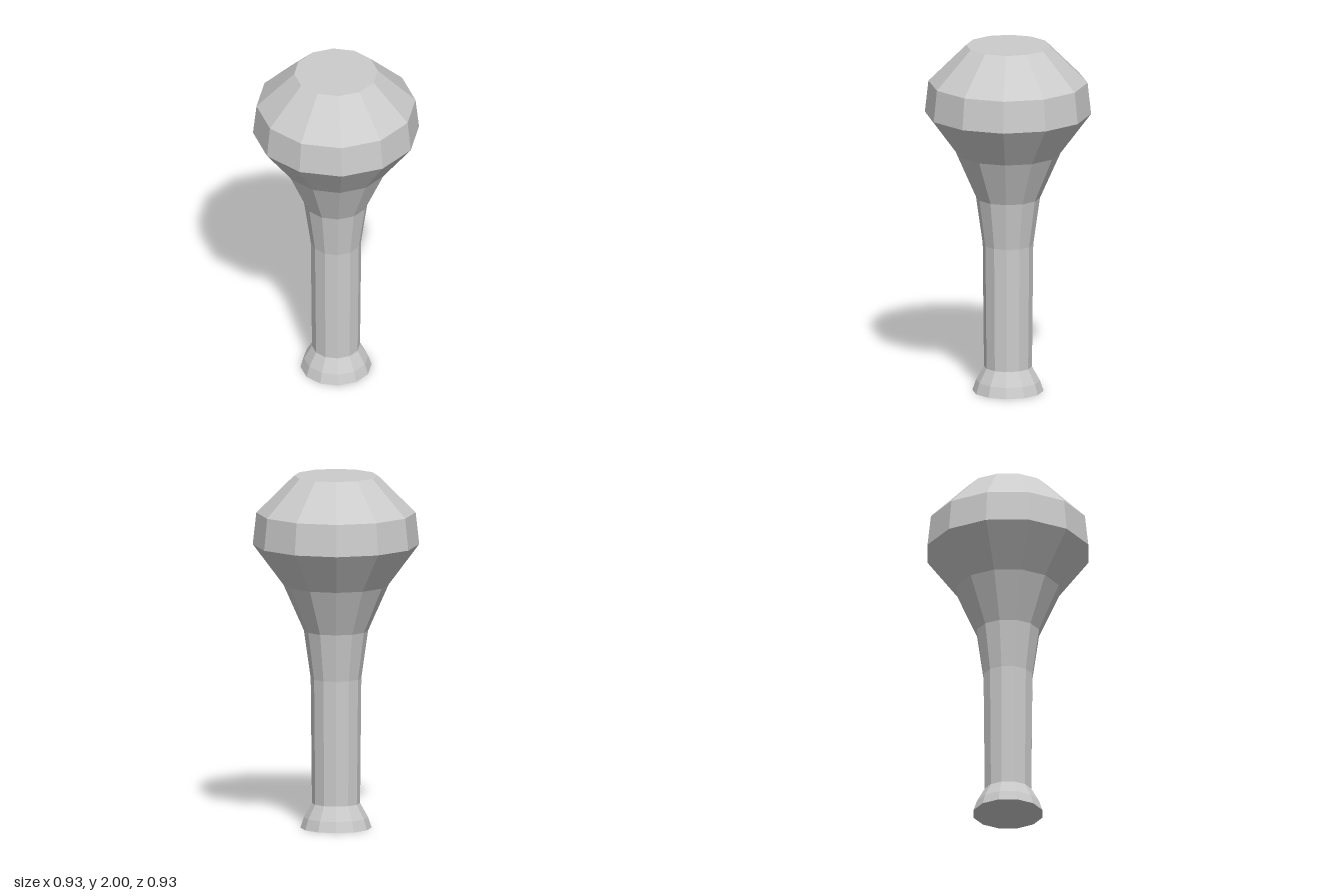
import * as THREE from 'three';

const SIDES = 12;

export function createModel() {
  const group = new THREE.Group();
  const material = new THREE.MeshStandardMaterial({ color: 0xcccccc, flatShading: true });

  // Adds a twelve-sided turned part from [radius, height] pairs, bottom to top
  const turned = (name, profile) => {
    const points = profile.map(([r, y]) => new THREE.Vector2(r, y));
    const mesh = new THREE.Mesh(new THREE.LatheGeometry(points, SIDES), material);
    mesh.name = name;
    group.add(mesh);
  };

  // Flared foot with a closed underside
  turned('foot', [[0, 0], [0.2, 0], [0.18, 0.06], [0.135, 0.14]]);
  // Slim grip widening towards the head
  turned('handle', [[0.135, 0.14], [0.142, 0.85], [0.18, 1.12]]);
  // Bulbous head with a bevelled, flat top
  turned('head', [[0.18, 1.12], [0.295, 1.38], [0.467, 1.61], [0.447, 1.79], [0.235, 2], [0, 2]]);

  return group;
}
